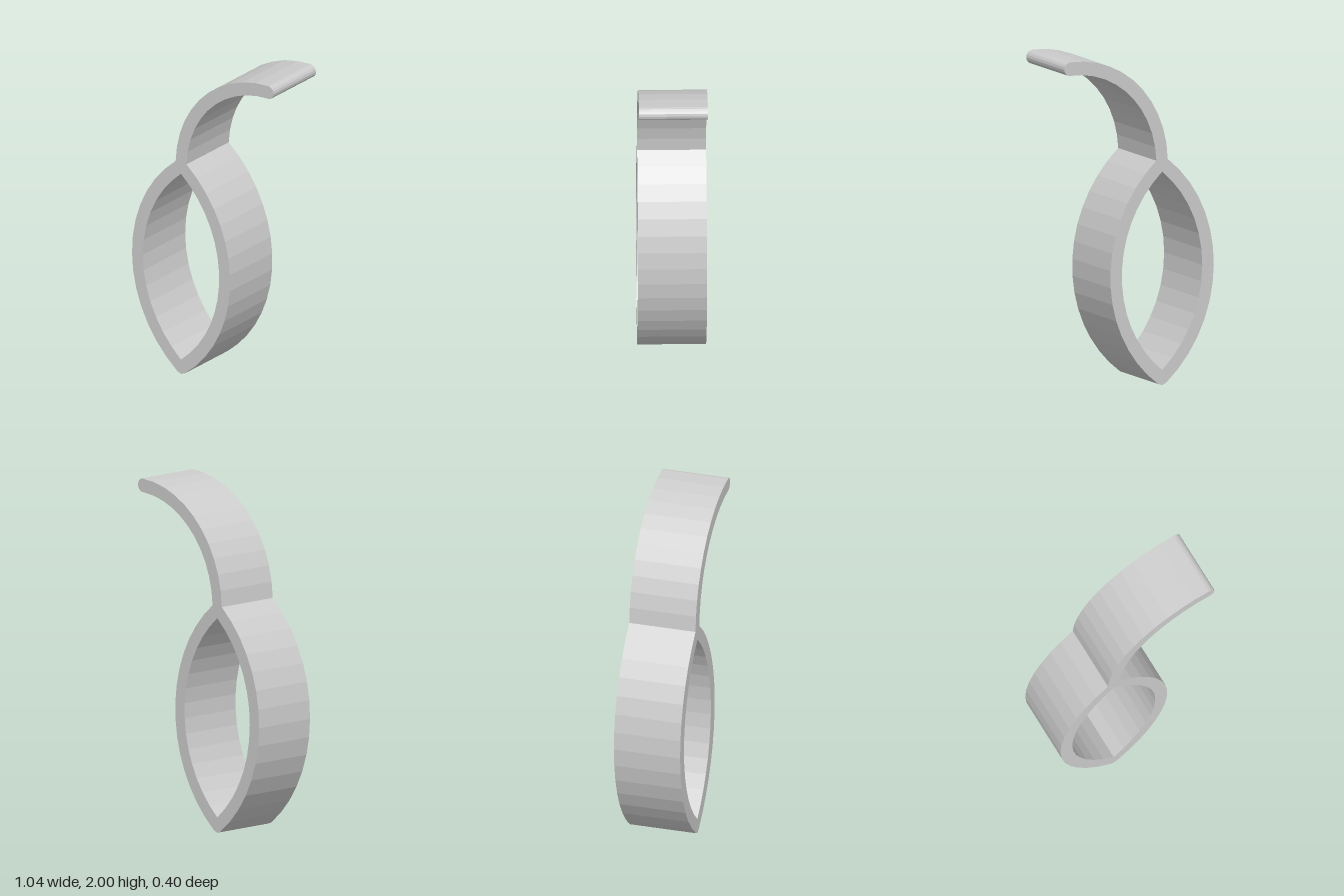
import * as THREE from 'three';

// Points along a circular arc, in n straight facets
function arc(cx, cy, r, from, to, n) {
  return Array.from({ length: n + 1 }, (_, i) => {
    const a = from + ((to - from) * i) / n;
    return new THREE.Vector2(cx + r * Math.cos(a), cy + r * Math.sin(a));
  });
}

export function createModel() {
  const group = new THREE.Group();
  group.name = 'hook';
  const grey = new THREE.MeshStandardMaterial({ color: 0xcccccc });
  grey.name = 'light grey';

  const midY = 0.68, rightC = -0.64, leftC = 0.32; // centres of the two loop arcs
  const stemX = 0.48, stemY = 1.32;                // centre of the curved arm
  const low = 0.923, high = 0.904, inner = Math.asin(0.59 / 0.76);
  const PI = Math.PI;

  // Outline: right loop side, arm underside, rounded tip, arm top, left loop side
  const outline = new THREE.Shape([
    new THREE.Vector2(-0.16, 0),
    ...arc(rightC, midY, 0.84, -low, high, 15),
    ...arc(stemX, stemY, 0.6, PI - 0.033, PI / 2, 11).slice(1),
    ...arc(stemX, 1.96, 0.04, -PI / 2, PI / 2, 8).slice(1),
    ...arc(stemX, stemY, 0.68, PI / 2, PI - 0.03, 11).slice(1),
    ...arc(leftC, midY, 0.84, PI - high, PI + low, 14).slice(1),
  ]);

  // Pointed oval opening
  outline.holes.push(new THREE.Path([
    ...arc(rightC, midY, 0.76, -inner, inner, 15),
    ...arc(leftC, midY, 0.76, PI - inner, PI + inner, 14).slice(1, -1),
  ]));

  const geometry = new THREE.ExtrudeGeometry(outline, { depth: 0.4, bevelEnabled: false });
  geometry.translate(0, 0, -0.2);
  const mesh = new THREE.Mesh(geometry, grey);
  mesh.name = 'loopAndCurvedArm';
  group.add(mesh);
  return group;
}
